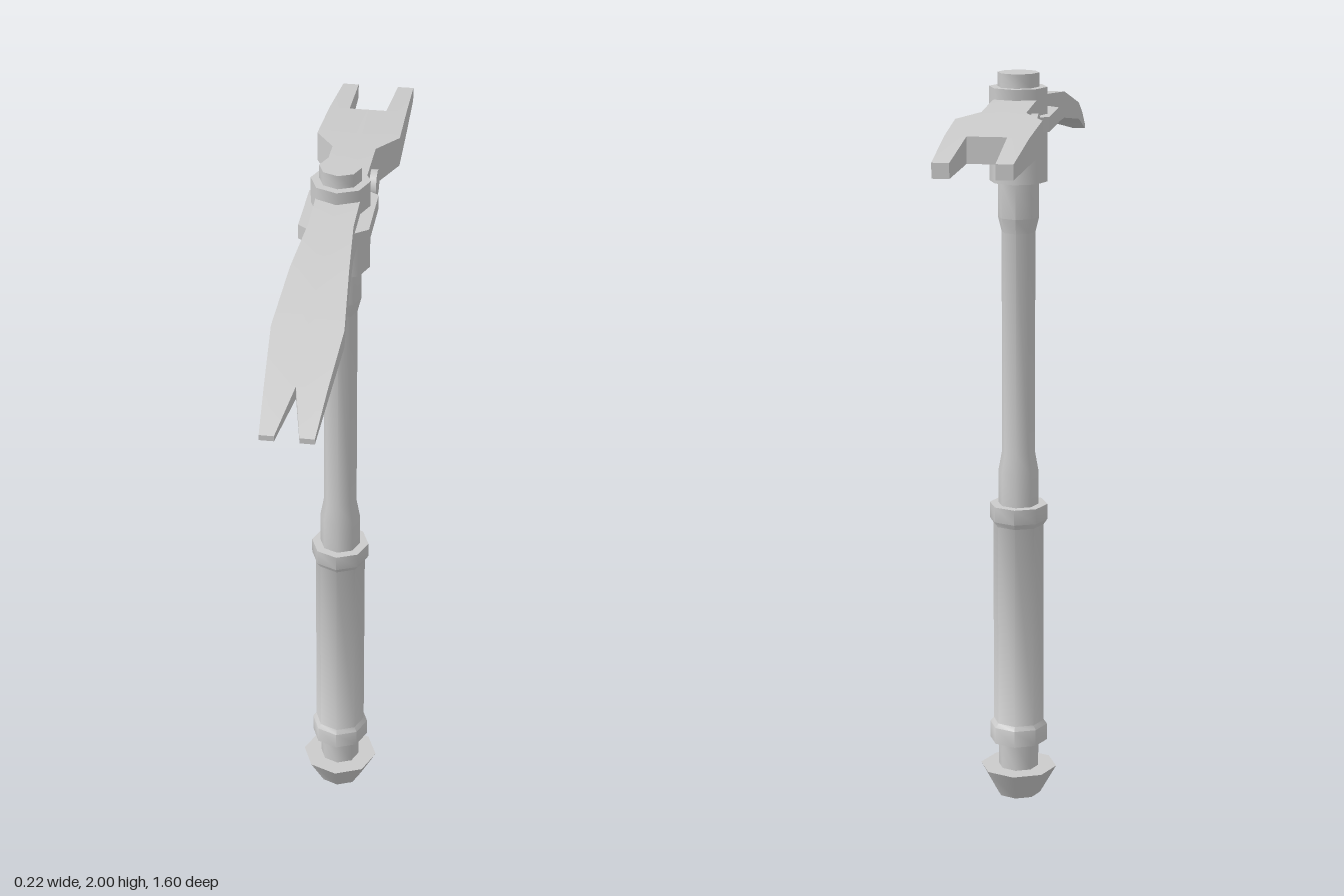
import * as THREE from 'three';
import { toCreasedNormals } from 'three/addons/utils/BufferGeometryUtils.js';

const AXIS_Z = -0.07; // the handle stands slightly behind the centre

export function createModel() {
  const group = new THREE.Group();
  const material = new THREE.MeshStandardMaterial({ color: 0xcccccc });

  const add = (name, geometry, crease = 0.8) => {
    const mesh = new THREE.Mesh(toCreasedNormals(geometry, crease), material);
    mesh.name = name;
    group.add(mesh);
    return mesh;
  };

  // Eight-sided turned part from [radius, y] pairs, bottom to top
  const turned = (name, profile) => {
    const points = profile.map(([r, y]) => new THREE.Vector2(r, y));
    points.unshift(new THREE.Vector2(0, profile[0][1]));
    points.push(new THREE.Vector2(0, profile[profile.length - 1][1]));
    add(name, new THREE.LatheGeometry(points, 8)).position.z = AXIS_Z;
  };

  // Handle
  turned('pommel', [[0.06, 0], [0.105, 0.08]]);
  turned('lowerNeck', [[0.055, 0.08], [0.055, 0.16]]);
  turned('grip', [
    [0.079, 0.157], [0.079, 0.203], [0.069, 0.214],
    [0.069, 0.778], [0.079, 0.793], [0.079, 0.835],
  ]);
  turned('shaft', [
    [0.055, 0.835], [0.055, 0.925], [0.045, 0.98],
    [0.045, 1.58], [0.055, 1.62], [0.055, 1.715],
  ]);
  turned('socket', [[0.077, 1.715], [0.077, 1.963]]);
  turned('cap', [[0.055, 1.963], [0.055, 2]]);

  add('head', headGeometry(), 0.4);

  // Bolt and chamfered side bar on each cheek of the head
  const bar = new THREE.Shape([
    [0.05, 0.085], [0.09, 0.055], [0.09, -0.13], [0.05, -0.155],
    [-0.05, -0.155], [-0.09, -0.13], [-0.09, 0.055], [-0.05, 0.085],
  ].map(([x, z]) => new THREE.Vector2(x, -z)));
  const barGeometry = new THREE.ExtrudeGeometry(bar, { depth: 0.039, bevelEnabled: false });
  barGeometry.rotateX(-Math.PI / 2);
  add('sideBars', barGeometry, 0.3).position.y = 1.854;

  const bolt = new THREE.CylinderGeometry(0.038, 0.038, 0.15, 8);
  bolt.rotateZ(Math.PI / 2);
  add('bolt', bolt).position.set(0, 1.876, -0.225);

  return group;
}

// Curved pick head: each half is lofted through box sections, front to back
function headGeometry() {
  // z, inner x, outer x, top y, bottom y
  const stations = [
    [0.8, 0.03, 0.066, 1.746, 1.732],
    [0.66, 0, 0.076, 1.798, 1.764],
    [0.48, 0, 0.089, 1.85, 1.804],
    [0.29, 0, 0.073, 1.905, 1.833],
    [0.1, 0, 0.057, 1.923, 1.828],
    [0, 0, 0.057, 1.93, 1.825],
    [-0.15, 0, 0.057, 1.935, 1.825],
    [-0.315, 0, 0.057, 1.928, 1.825],
    [-0.4, 0, 0.11, 1.921, 1.84],
    [-0.585, 0, 0.105, 1.905, 1.838],
    [-0.585, 0.05, 0.105, 1.905, 1.838],
    [-0.8, 0.055, 0.098, 1.873, 1.835],
  ];
  const positions = [];
  for (const side of [1, -1]) {
    const rings = stations.map(([z, xi, xo, t, b]) =>
      [[xi, t], [xo, t], [xo, b], [xi, b]].map(([x, y]) => [x * side, y, z]));
    const quad = (a, b, c, d) => {
      const order = side > 0 ? [a, b, c, a, c, d] : [a, c, b, a, d, c];
      order.forEach((p) => positions.push(...p));
    };
    for (let i = 0; i + 1 < rings.length; i++) {
      const p = rings[i], q = rings[i + 1];
      const isStep = stations[i][0] === stations[i + 1][0];
      const isSolid = stations[i][1] === 0 && stations[i + 1][1] === 0;
      for (let j = 0; j < 4; j++) {
        // a step only has its slot wall; solid parts have no inner wall
        if (j === 3 ? isSolid : isStep) continue;
        const k = (j + 1) % 4;
        quad(p[j], p[k], q[k], q[j]);
      }
    }
    const first = rings[0], last = rings[rings.length - 1];
    quad(first[0], first[3], first[2], first[1]);
    quad(last[0], last[1], last[2], last[3]);
  }
  const geometry = new THREE.BufferGeometry();
  geometry.setAttribute('position', new THREE.Float32BufferAttribute(positions, 3));
  return geometry;
}
